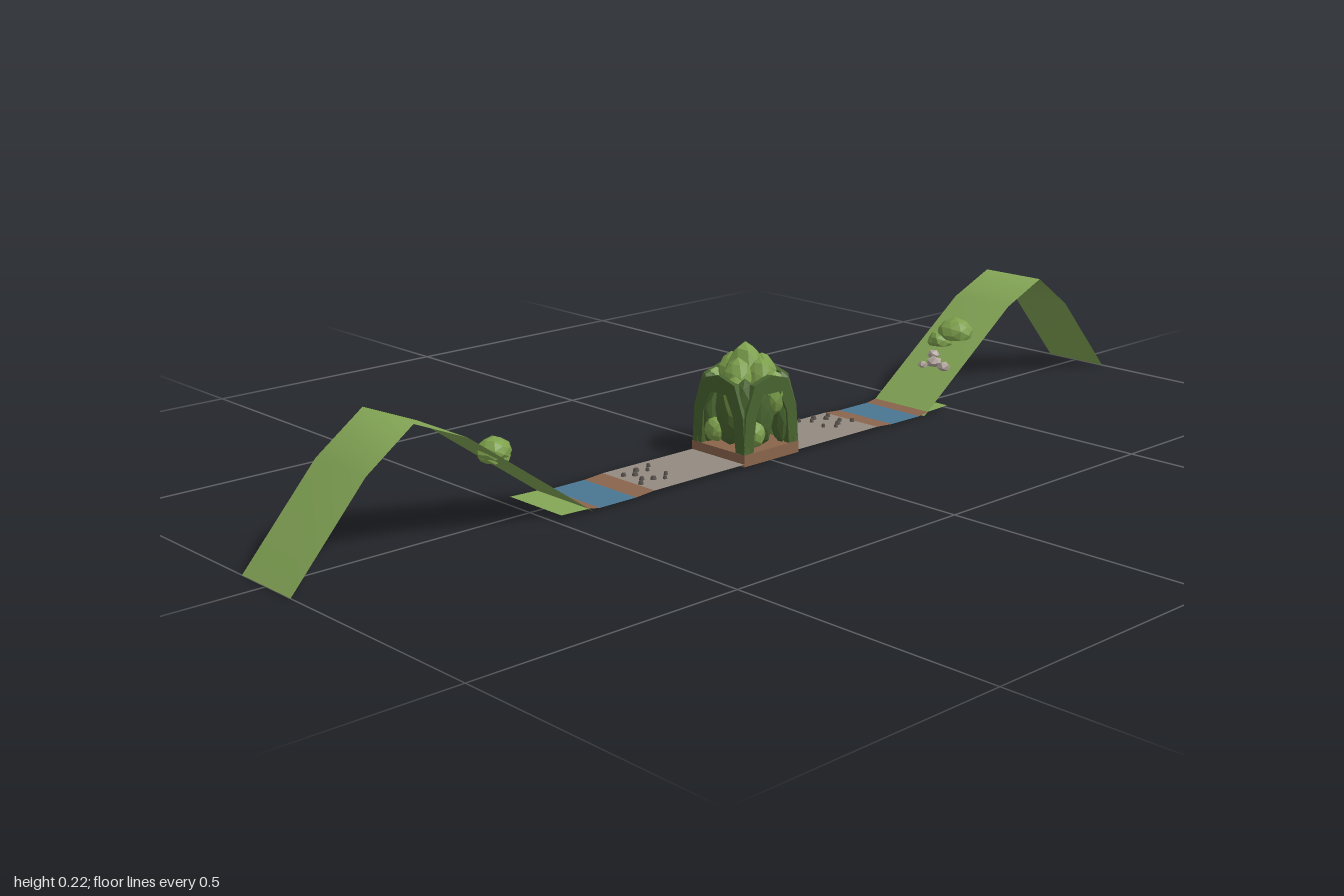
import * as THREE from 'three';

const mat = (name, color, side = THREE.FrontSide) => {
  const m = new THREE.MeshStandardMaterial({ color, side });
  m.name = name;
  return m;
};

export function createModel() {
  const root = new THREE.Group();
  root.name = 'valleyStrip';
  const W = 0.138;
  const grass = mat('grass green', 0x84a656, THREE.DoubleSide);
  const road = mat('road grey', 0x938a80, THREE.DoubleSide);
  const water = mat('water blue', 0x4a7692, THREE.DoubleSide);
  const earth = mat('earth brown', 0x8a654c, THREE.DoubleSide);
  const leaf = mat('leaf green', 0x7da04c);
  const dark = mat('dark leaf green', 0x48642f);
  const rock = mat('pale rock', 0xb3a69e);
  const pebble = mat('pebble grey', 0x57514c);

  const add = (parent, name, geo, material, x = 0, y = 0, z = 0) => {
    const m = new THREE.Mesh(geo, material);
    m.name = name;
    m.position.set(x, y, z);
    parent.add(m);
    return m;
  };

  // Thin ribbon of ground following [x, y] points, x increasing
  const ribbon = (name, pts, material) => {
    const n = pts.length - 1;
    const g = new THREE.PlaneGeometry(1, W, n, 1).rotateX(-Math.PI / 2);
    const p = g.attributes.position;
    for (let i = 0; i < p.count; i++) {
      const [x, y] = pts[i % (n + 1)];
      p.setXYZ(i, x, y, p.getZ(i));
    }
    g.computeVertexNormals();
    add(root, name, g, material);
  };

  // Seeded lumpy low-poly blob with a flattened underside
  const blob = (sx, sy, sz, seed, bottom = -1, detail = 1) => {
    const g = new THREE.IcosahedronGeometry(1, detail);
    const p = g.attributes.position;
    for (let i = 0; i < p.count; i++) {
      const x = p.getX(i), y = p.getY(i), z = p.getZ(i);
      const k = 1 + 0.07 * Math.sin(x * 5 + seed) * Math.cos(z * 4 + y * 3 + seed * 2);
      p.setXYZ(i, x * k * sx, Math.max(y, bottom) * k * sy, z * k * sz);
    }
    g.computeVertexNormals();
    return g;
  };

  // Mirrored ground: road, banks, water, meadow and hill
  const hill = [[0.42, 0], [0.67, 0.18], [0.77, 0.222], [0.86, 0.157], [1, 0]];
  const bands = [
    ['innerBank', [[0.283, 0.006], [0.325, 0.003]], earth],
    ['river', [[0.325, 0.003], [0.405, 0.003]], water],
    ['outerBank', [[0.405, 0.003], [0.43, 0.007]], earth],
    ['meadow', [[0.43, 0.007], [0.488, 0.009]], grass],
    ['hill', hill, grass],
  ];
  ribbon('road', [[-0.283, 0.006], [0.283, 0.006]], road);
  for (const s of [1, -1]) {
    for (const [name, pts, m] of bands) {
      const side = pts.map(([x, y]) => [s * x, y]);
      ribbon((s > 0 ? 'left ' : 'right ') + name, s > 0 ? side : side.reverse(), m);
    }
  }

  // Pebbles scattered on both ends of the road
  for (const s of [1, -1]) {
    for (let i = 0; i < 10; i++) {
      const x = s * (0.2 + ((i * 37) % 10) * 0.0085);
      const z = -0.058 + ((i * 53 + (s > 0 ? 0 : 17)) % 100) / 100 * 0.095;
      const r = 0.004 + (i % 3) * 0.001;
      const g = new THREE.CylinderGeometry(r * 0.7, r, 0.006, 6);
      add(root, 'pebble', g, pebble, x, 0.009, z);
    }
  }

  // Bushes on the slopes
  const bushes = [
    [-0.57, 0.122, 0.0, 0.029], [-0.543, 0.1, -0.036, 0.027],
    [0.575, 0.132, 0.012, 0.036], [0.552, 0.115, -0.008, 0.025],
  ];
  bushes.forEach(([x, y, z, r], i) =>
    add(root, 'slopeBush', blob(r, r * 0.85, r, i, -0.3), leaf, x, y, z));

  // Rocks beside the left bush
  const rocks = [[0.508, 0.078, 0.04, 0.013], [0.512, 0.082, 0.012, 0.015],
    [0.528, 0.092, -0.004, 0.013], [0.505, 0.074, -0.012, 0.01]];
  rocks.forEach(([x, y, z, r], i) => {
    const m = add(root, 'rock', blob(r, r * 0.85, r * 1.1, i + 5, -0.6, 0), rock, x, y, z);
    m.rotation.y = i;
  });

  // Central planting bed with a square curb
  const grove = new THREE.Group();
  grove.name = 'centralGrove';
  root.add(grove);
  add(grove, 'soil', new THREE.BoxGeometry(0.1, 0.016, 0.1), earth, 0, 0.015, 0);
  for (const s of [1, -1]) {
    add(grove, 'curb', new THREE.BoxGeometry(0.138, 0.022, 0.02), earth, 0, 0.012, s * 0.059);
    add(grove, 'curb', new THREE.BoxGeometry(0.02, 0.022, 0.098), earth, s * 0.059, 0.012, 0);
  }

  // Arched dark foliage on the four sides
  const arch = new THREE.Shape();
  arch.moveTo(-0.069, 0.02);
  [[-0.064, 0.09], [-0.042, 0.146], [0, 0.158], [0.042, 0.146], [0.064, 0.09], [0.069, 0.02]]
    .forEach(([x, y]) => arch.lineTo(x, y));
  const gap = new THREE.Path();
  gap.moveTo(-0.045, 0.022);
  [[0.045, 0.022], [0.04, 0.085], [0.02, 0.125], [-0.02, 0.125], [-0.04, 0.085]]
    .forEach(([x, y]) => gap.lineTo(x, y));
  arch.holes.push(gap);
  const archGeo = new THREE.ExtrudeGeometry(arch, { depth: 0.012, bevelEnabled: false });
  for (let i = 0; i < 4; i++) {
    const side = new THREE.Group();
    side.name = 'foliageSide';
    side.rotation.y = i * Math.PI / 2;
    grove.add(side);
    add(side, 'foliageArch', archGeo, dark, 0, 0, 0.056);
    // Upright leaf masses filling the arch and its corner
    add(side, 'innerFoliage', blob(0.03, 0.066, 0.02, i, -1), dark, 0, 0.088, 0.04);
    add(side, 'cornerFoliage', blob(0.021, 0.07, 0.021, i + 3, -1), dark, 0.046, 0.086, 0.046);
    add(side, 'upperLeaves', blob(0.024, 0.04, 0.018, i + 1, -1), leaf, 0.026, 0.118, 0.05);
    add(side, 'lowerLeaves', blob(0.021, 0.024, 0.017, i + 2, -1), leaf, -0.026, 0.05, 0.052);
  }

  // Rounded crown rising to a peak
  [[0, 0.135, 0, 0.038, 0.075], [-0.03, 0.14, 0.012, 0.029, 0.045], [0.032, 0.14, 0.01, 0.029, 0.045],
    [0.004, 0.14, 0.034, 0.027, 0.044], [-0.004, 0.14, -0.032, 0.027, 0.044]]
    .forEach(([x, y, z, r, h], i) => add(grove, 'crownLeaves', blob(r, h, r, i * 2), leaf, x, y, z));

  return root;
}
